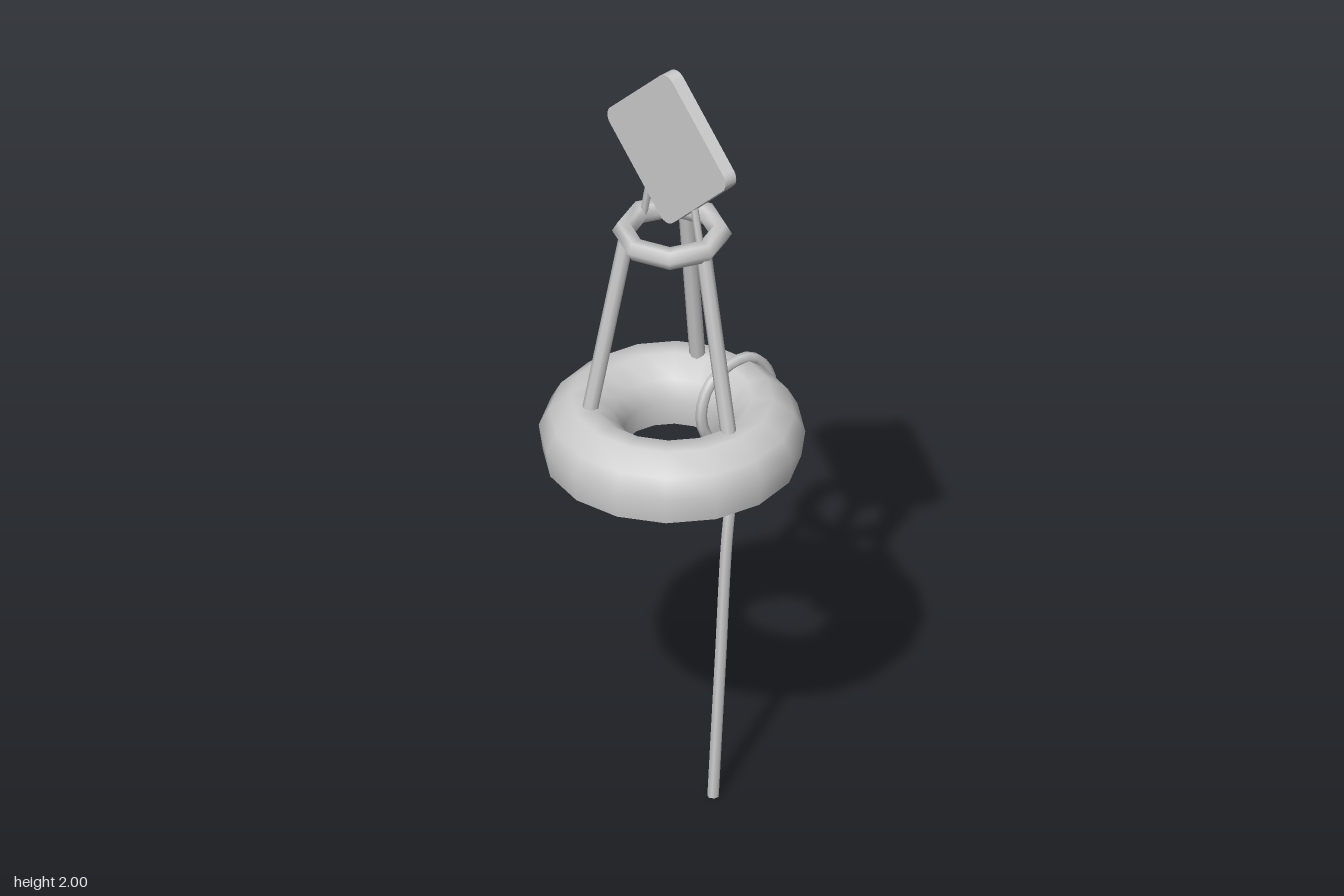
import * as THREE from 'three';

const grey = new THREE.MeshStandardMaterial({ color: 0xcccccc, side: THREE.DoubleSide });
const flat = new THREE.MeshStandardMaterial({ color: 0xcccccc, flatShading: true });
const CX = -0.01; // axis of the float
const V = (x, y, z = 0) => new THREE.Vector3(x, y, z);

function add(parent, name, geometry, material = grey) {
  const mesh = new THREE.Mesh(geometry, material);
  mesh.name = name;
  parent.add(mesh);
  return mesh;
}

// Straight round bar between two points
function bar(parent, name, a, b, radius, sides = 8) {
  const mesh = add(parent, name, new THREE.CylinderGeometry(radius, radius, a.distanceTo(b), sides));
  mesh.position.copy(a).lerp(b, 0.5);
  mesh.quaternion.setFromUnitVectors(V(0, 1), b.clone().sub(a).normalize());
  return mesh;
}

// Rounded rectangle centred on the origin
function roundedRect(w, h, r) {
  const s = new THREE.Shape();
  const x = w / 2 - r, y = h / 2 - r;
  s.absarc(x, y, r, 0, Math.PI / 2);
  s.absarc(-x, y, r, Math.PI / 2, Math.PI);
  s.absarc(-x, -y, r, Math.PI, Math.PI * 1.5);
  s.absarc(x, -y, r, Math.PI * 1.5, Math.PI * 2);
  s.closePath();
  return s;
}

const slab = (shape, depth) =>
  new THREE.ExtrudeGeometry(shape, { depth, bevelEnabled: false, curveSegments: 5 });

function createSign() {
  const sign = new THREE.Group();
  sign.name = 'sign';

  // Diamond board
  const board = slab(roundedRect(0.296, 0.296, 0.03), 0.033);
  board.rotateZ(Math.PI / 4);
  add(sign, 'signBoard', board, flat).position.z = -0.027;

  // Raised fin
  const fin = new THREE.Shape();
  fin.moveTo(-0.095, -0.006);
  fin.quadraticCurveTo(-0.05, 0.09, 0.035, 0.125);
  fin.quadraticCurveTo(0.005, 0.055, 0.045, -0.006);
  fin.closePath();
  add(sign, 'signFin', slab(fin, 0.007), flat).position.z = 0.005;

  // Raised water lines: centre, height, length
  const lines = [[-0.005, 0, 0.32], [-0.13, 0.007, 0.065], [0.1, 0.007, 0.105],
    [-0.07, -0.051, 0.11], [0.07, -0.051, 0.12], [0, -0.098, 0.145]];
  for (const [x, y, w] of lines) {
    add(sign, 'signLine', slab(roundedRect(w, 0.013, 0.006), 0.008), flat).position.set(x, y, 0.005);
  }
  sign.rotation.y = Math.PI / 2;
  sign.position.y = 1.803;
  return sign;
}

export function createModel() {
  const model = new THREE.Group();
  model.name = 'buoy';

  // Hollow float, open underneath
  const profile = [[0.291, 0.98], [0.3, 1.045], [0.276, 1.09], [0.228, 1.13],
    [0.18, 1.13], [0.132, 1.09], [0.107, 1.045], [0.117, 0.98]];
  add(model, 'float', new THREE.LatheGeometry(profile.map(([r, y]) => new THREE.Vector2(r, y)), 16))
    .position.x = CX;

  // Ring on top of the posts
  const ring = new THREE.TorusGeometry(0.109, 0.026, 6, 8);
  ring.rotateX(Math.PI / 2);
  add(model, 'topRing', ring).position.set(CX, 1.573, 0);

  // Three leaning posts
  for (let i = 0; i < 3; i++) {
    const a = Math.PI / 2 + (i * Math.PI * 2) / 3;
    const at = (r, y) => V(CX + r * Math.cos(a), y, r * Math.sin(a));
    bar(model, 'post', at(0.193, 1.1), at(0.105, 1.57), 0.018);
  }

  // Thin struts holding the sign
  for (const s of [1, -1]) {
    bar(model, 'signStrut', V(CX, 1.575, s * 0.095), V(CX, 1.72, s * 0.065), 0.009, 6);
  }
  model.add(createSign());

  // Rope looped through the float and hanging down
  const points = [[0.215, 0.912, 0.006], [0.15, 0.945, 0.006], [0.095, 0.98], [0.079, 1.05], [0.105, 1.112],
    [0.16, 1.137], [0.225, 1.132], [0.27, 1.09], [0.291, 1.03], [0.265, 0.965], [0.212, 0.905],
    [0.18, 0.82], [0.16, 0.7], [0.137, 0.35], [0.115, 0.001]];
  const path = new THREE.CatmullRomCurve3(points.map((p) => V(...p)), false, 'centripetal');
  add(model, 'rope', new THREE.TubeGeometry(path, 56, 0.0135, 6));
  const end = add(model, 'ropeEnd', new THREE.CircleGeometry(0.0135, 6));
  end.rotation.x = Math.PI / 2;
  end.position.set(0.115, 0.001, 0);

  return model;
}
